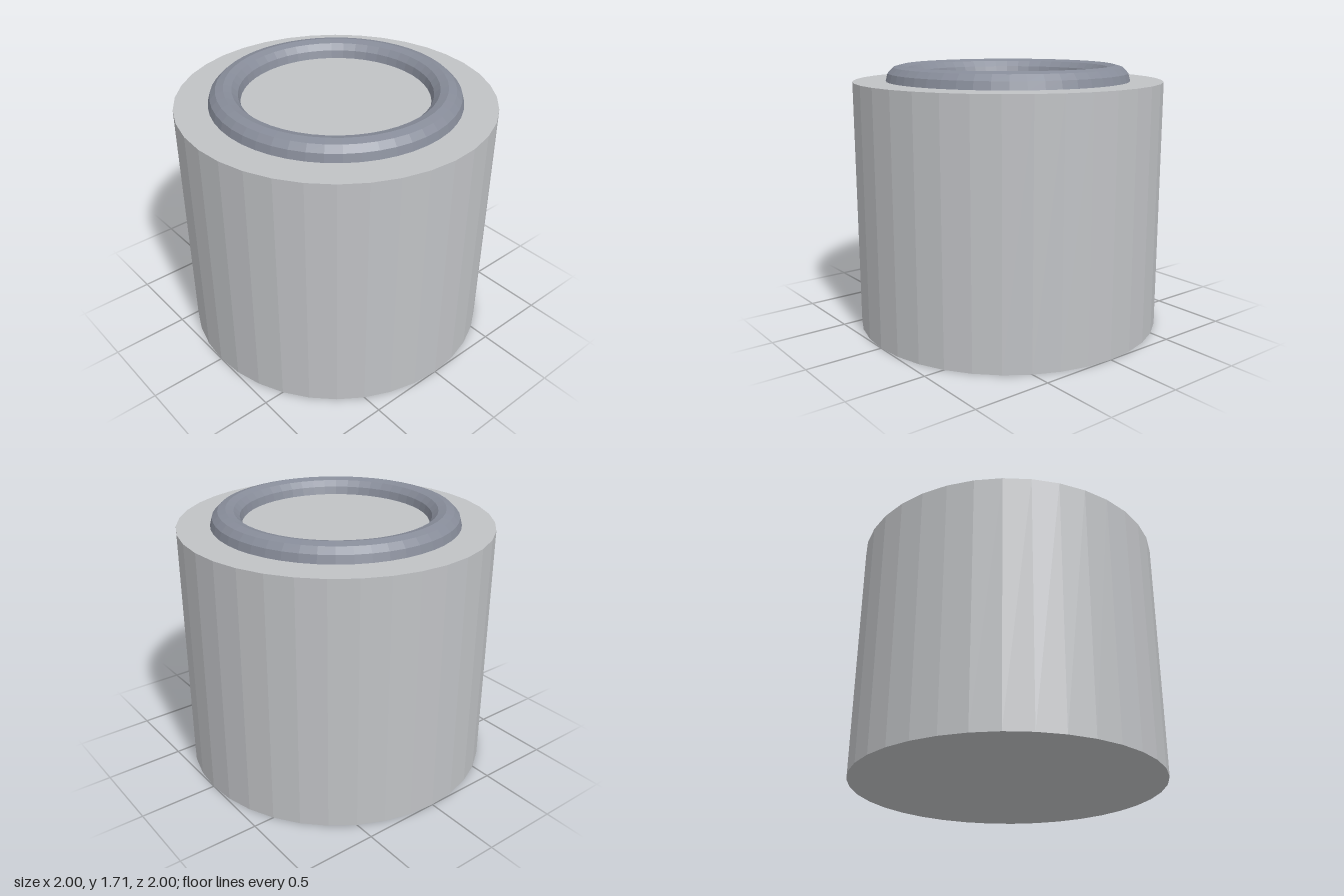
import * as THREE from 'three';

const BODY_HEIGHT = 1.61;
const RING_RADIUS = 0.69;
const RING_TUBE = 0.1;

function part(name, geometry, material, y) {
  const mesh = new THREE.Mesh(geometry, material);
  mesh.name = name;
  mesh.position.y = y;
  return mesh;
}

export function createModel() {
  const bodyGrey = new THREE.MeshStandardMaterial({ name: 'light grey', color: 0xc0c2c5, flatShading: true });
  const ringGrey = new THREE.MeshStandardMaterial({ name: 'blue grey', color: 0x878c99, flatShading: true });

  const model = new THREE.Group();
  model.name = 'cylinderWithRing';

  // Faceted drum
  model.add(part('body', new THREE.CylinderGeometry(1, 1, BODY_HEIGHT, 36), bodyGrey, BODY_HEIGHT / 2));

  // Ring lying flat, half sunk into the top face
  const ring = new THREE.TorusGeometry(RING_RADIUS, RING_TUBE, 12, 48).rotateX(-Math.PI / 2);
  model.add(part('topRing', ring, ringGrey, BODY_HEIGHT));

  return model;
}
